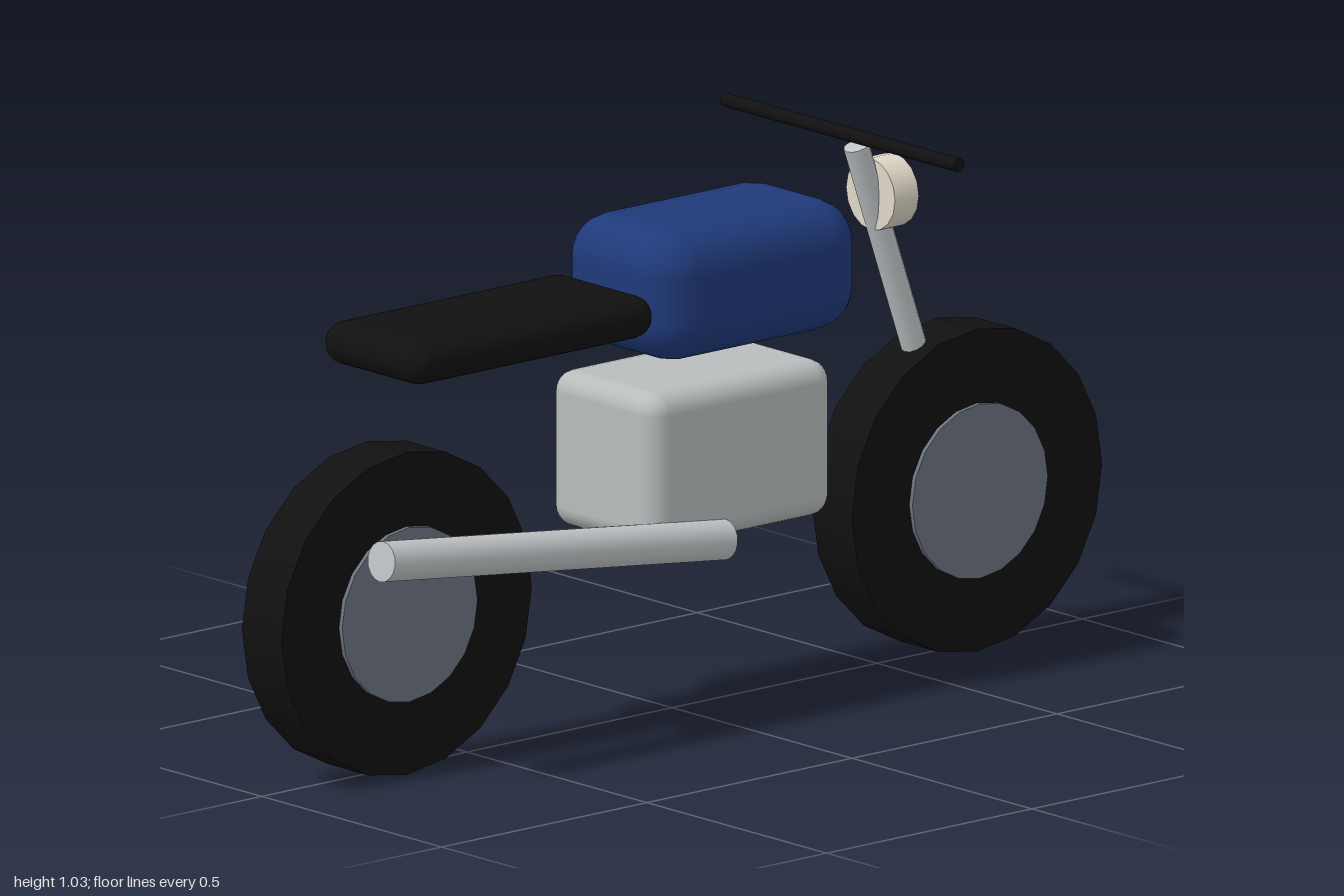
import * as THREE from 'three';
import { RoundedBoxGeometry } from 'three/addons/geometries/RoundedBoxGeometry.js';

export function createModel() {
  const group = new THREE.Group();
  const mat = (name, color) => {
    const m = new THREE.MeshStandardMaterial({ color });
    m.name = name;
    return m;
  };
  const black = mat('blackRubber', 0x111111);
  const hubGrey = mat('hubGrey', 0x6b7280);
  const silver = mat('silverMetal', 0xb8bcbc);
  const chrome = mat('chrome', 0xc0c4c6);
  const blue = mat('bluePaint', 0x1f3a7a);
  const cream = mat('creamLamp', 0xe0d8c8);

  const add = (name, geometry, material, x, y, z) => {
    const mesh = new THREE.Mesh(geometry, material);
    mesh.name = name;
    mesh.position.set(x, y, z);
    group.add(mesh);
    return mesh;
  };

  const box = (name, material, size, y, z, radius) =>
    add(name, new RoundedBoxGeometry(...size, 3, radius), material, 0, y, z);

  // Round bar between two points
  const bar = (name, material, from, to, radius, sides = 16) => {
    const a = new THREE.Vector3(...from), b = new THREE.Vector3(...to);
    const dir = b.clone().sub(a);
    const mid = a.clone().add(b).multiplyScalar(0.5);
    const geometry = new THREE.CylinderGeometry(radius, radius, dir.length(), sides);
    const mesh = add(name, geometry, material, mid.x, mid.y, mid.z);
    mesh.quaternion.setFromUnitVectors(new THREE.Vector3(0, 1, 0), dir.normalize());
    return mesh;
  };

  // Wheels: tyre disc with a slightly wider hub
  for (const [name, z] of [['rear', 0.695], ['front', -0.695]]) {
    bar(name + 'Tyre', black, [-0.055, 0.305, z], [0.055, 0.305, z], 0.305, 20);
    bar(name + 'Hub', hubGrey, [-0.064, 0.305, z], [0.064, 0.305, z], 0.165, 20);
  }

  // Engine, tank and seat
  box('engine', silver, [0.297, 0.295, 0.445], 0.494, -0.048, 0.04);
  box('fuelTank', blue, [0.315, 0.246, 0.495], 0.81, -0.097, 0.08);
  box('seat', black, [0.278, 0.08, 0.594], 0.79, 0.447, 0.039);

  // Exhaust pipe on the left side
  bar('exhaust', chrome, [0.148, 0.347, 0.003], [0.148, 0.445, 0.838], 0.038);

  // Steering: fork, headlight and handlebar
  bar('fork', chrome, [0, 0.42, -0.648], [0, 0.987, -0.449], 0.024, 12);
  bar('headlight', cream, [0, 0.89, -0.484], [0, 0.89, -0.542], 0.068);
  bar('handlebar', black, [-0.325, 1.018, -0.415], [0.325, 1.018, -0.415], 0.013, 10);

  return group;
}
